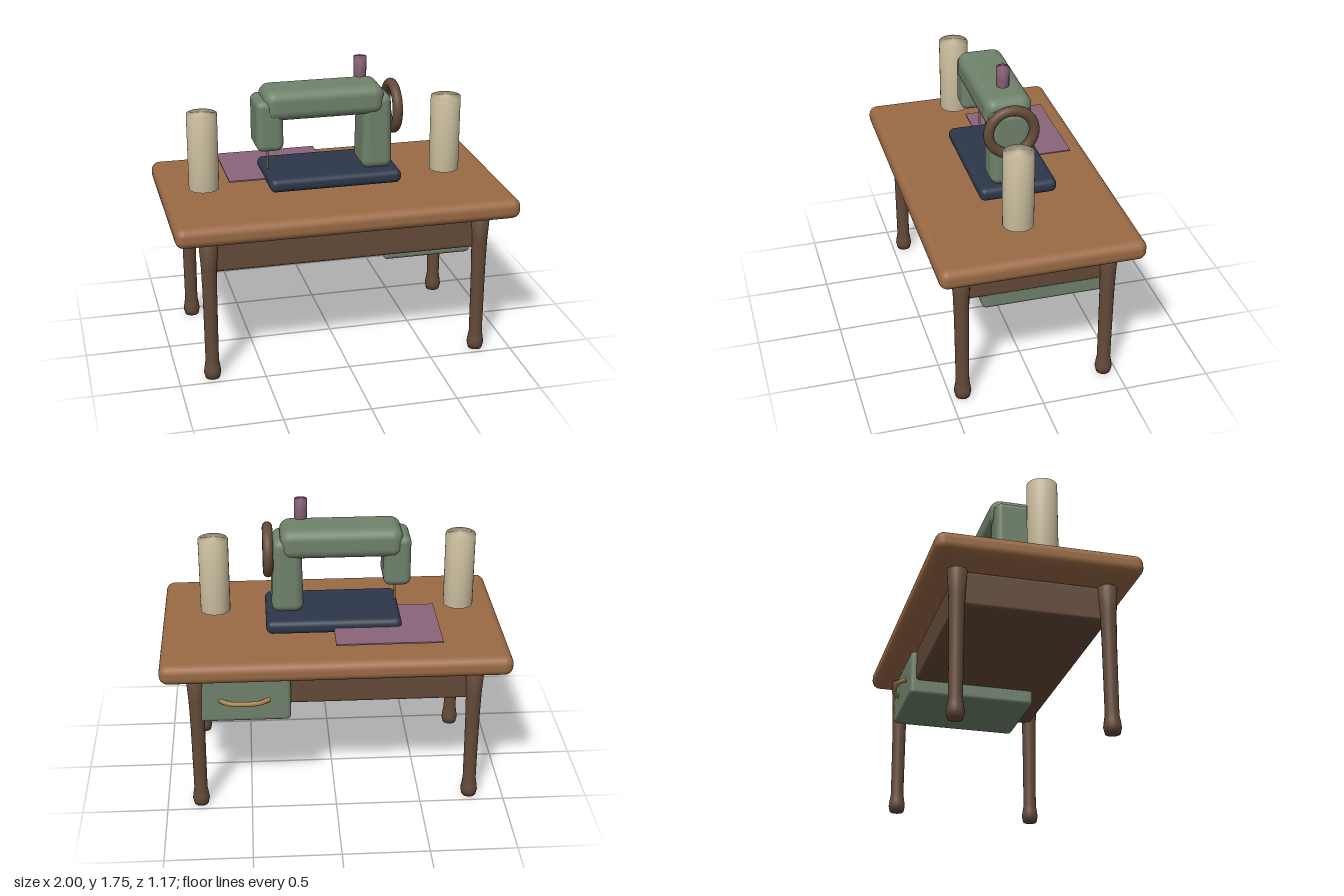
import * as THREE from 'three';
import { RoundedBoxGeometry } from 'three/addons/geometries/RoundedBoxGeometry.js';
import { mergeVertices } from 'three/addons/utils/BufferGeometryUtils.js';

const paint = (color) => new THREE.MeshStandardMaterial({ color });
const oak = paint(0x9a6a45), walnut = paint(0x644a39), green = paint(0x70826c);
const navy = paint(0x2c374a), mauve = paint(0x8a6479), cream = paint(0xcfc2a2), brass = paint(0xa8834c);

export function createModel() {
  const model = new THREE.Group();

  const add = (name, geometry, material, x = 0, y = 0, z = 0) => {
    const mesh = new THREE.Mesh(geometry, material);
    mesh.name = name;
    mesh.position.set(x, y, z);
    model.add(mesh);
    return mesh;
  };

  // Rounded block given by its limits on each axis
  const block = (name, material, [x0, x1], [y0, y1], [z0, z1], radius) =>
    add(name, new RoundedBoxGeometry(x1 - x0, y1 - y0, z1 - z0, 4, radius), material,
      (x0 + x1) / 2, (y0 + y1) / 2, (z0 + z1) / 2);

  // Cylinder with normals blended over its rims
  const softCylinder = (radius, height) => {
    const g = new THREE.CylinderGeometry(radius, radius, height, 28);
    g.deleteAttribute('normal');
    g.deleteAttribute('uv');
    const merged = mergeVertices(g);
    merged.computeVertexNormals();
    return merged;
  };

  // Table
  block('tableTop', oak, [-1, 1], [0.875, 0.995], [-0.585, 0.585], 0.05);
  block('apron', walnut, [-0.8, 0.8], [0.66, 0.867], [-0.43, 0.43], 0.02);

  // Turned legs with a flared top and a rounded foot
  const legProfile = [
    [0, 0], [0.042, 0], [0.05, 0.035], [0.046, 0.065], [0.039, 0.11], [0.04, 0.3],
    [0.042, 0.55], [0.046, 0.7], [0.056, 0.86], [0, 0.86],
  ].map(([r, y]) => new THREE.Vector2(r, y));
  const legGeometry = new THREE.LatheGeometry(legProfile, 20);
  for (const x of [-0.802, 0.802])
    for (const z of [-0.427, 0.427])
      add('leg', legGeometry, walnut, x, 0, z);

  // Drawer opening to the back, with a bowed pull
  block('drawer', green, [0.26, 0.79], [0.57, 0.85], [-0.465, 0.3], 0.025);
  const bow = new THREE.CatmullRomCurve3([
    new THREE.Vector3(-0.14, 0, 0.045), new THREE.Vector3(-0.08, 0, 0.005),
    new THREE.Vector3(0.08, 0, 0.005), new THREE.Vector3(0.14, 0, 0.045),
  ]);
  add('drawerPull', new THREE.TubeGeometry(bow, 24, 0.014, 10), brass, 0.525, 0.71, -0.507);

  // Sewing machine body
  block('machineBase', navy, [-0.395, 0.39], [1.012, 1.094], [-0.254, 0.202], 0.035);
  const pillar = block('machinePillar', green, [0.167, 0.355], [1.085, 1.54], [-0.118, 0.128], 0.05);
  const p = pillar.geometry.attributes.position;
  for (let i = 0; i < p.count; i++) {
    // Narrow the pillar slightly toward its top
    p.setX(i, p.getX(i) * (0.94 - 0.26 * p.getY(i)));
  }
  pillar.geometry.computeBoundingSphere();
  block('machineArm', green, [-0.408, 0.3], [1.42, 1.598], [-0.132, 0.142], 0.062);
  block('machineHead', green, [-0.456, -0.298], [1.24, 1.545], [-0.117, 0.13], 0.04);
  add('needle', new THREE.CylinderGeometry(0.006, 0.006, 0.16, 10), brass, -0.374, 1.182, 0.005);

  // Hand wheel beside the pillar
  const wheel = add('handWheel', new THREE.TorusGeometry(0.132, 0.03, 16, 48), walnut, 0.37, 1.437, 0.018);
  wheel.rotation.y = Math.PI / 2;

  // Thread, cloth and the two tall reels
  add('threadSpool', softCylinder(0.037, 0.117), mauve, 0.176, 1.69, 0.015);
  add('cloth', new THREE.BoxGeometry(0.61, 0.008, 0.492), mauve, -0.305, 1.046, -0.211);
  for (const x of [-0.764, 0.686])
    add('tallReel', softCylinder(0.088, 0.452), cream, x, 1.264, 0.069);

  return model;
}
